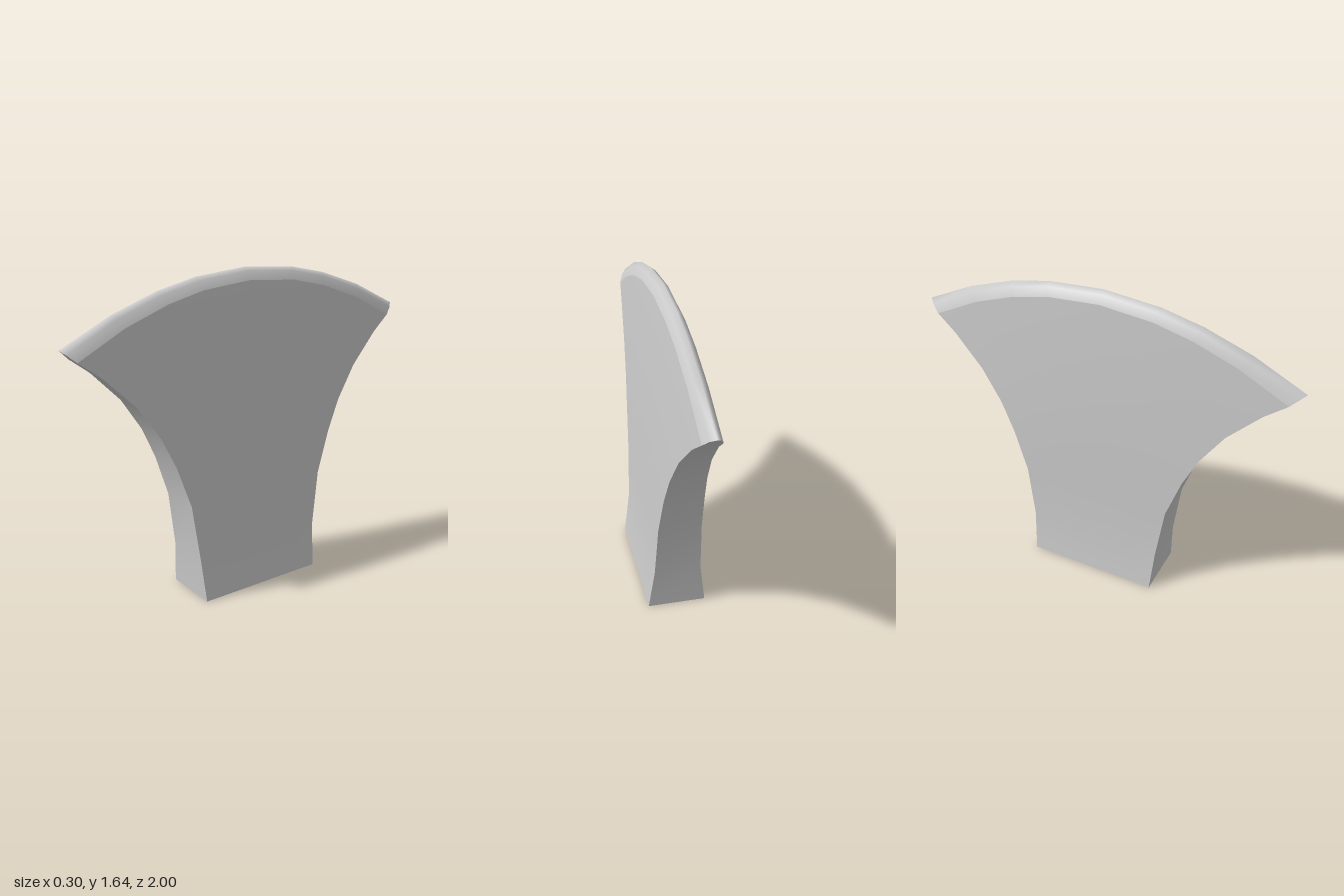
import * as THREE from 'three';

// Cross-section rows: half depth z, edge height y, half thickness x, rise of the row at its middle
const ROWS = [
  [0.35, 0, 0.15, 0],
  [0.365, 0.23, 0.12, 0.01],
  [0.405, 0.52, 0.11, 0.03],
  [0.48, 0.74, 0.1, 0.07],
  [0.555, 0.9, 0.089, 0.11],
  [0.67, 1.07, 0.075, 0.16],
  [0.83, 1.23, 0.057, 0.225],
  [0.935, 1.31, 0.045, 0.275],
  [0.975, 1.347, 0.025, 0.28],
  [1, 1.365, 0, 0.28],
];
const BEVEL = 7; // row where the sharpened edge starts
const COLUMNS = [-1, -0.74, -0.5, -0.29, 0, 0.29, 0.5, 0.74, 1];

// Point on a row: u runs along z, side picks the +x or -x face
function point([z, y, x, rise], u, side) {
  return [x * side, y + rise * (1 - u * u), z * u];
}

// Smooth surface through a grid of points
function gridGeometry(grid) {
  const n = grid[0].length;
  const index = [];
  for (let i = 0; i < grid.length - 1; i++) {
    for (let j = 0; j < n - 1; j++) {
      const a = i * n + j;
      index.push(a, a + n, a + 1, a + 1, a + n, a + n + 1);
    }
  }
  const geometry = new THREE.BufferGeometry();
  geometry.setAttribute('position', new THREE.Float32BufferAttribute(grid.flat(2), 3));
  geometry.setIndex(index);
  geometry.computeVertexNormals();
  return geometry;
}

export function createModel() {
  const model = new THREE.Group();
  model.name = 'axeHead';
  const material = new THREE.MeshStandardMaterial({ color: 0xcccccc, side: THREE.DoubleSide });

  function add(name, geometry, turn = 0) {
    const mesh = new THREE.Mesh(geometry, material);
    mesh.name = name;
    mesh.rotation.y = turn;
    model.add(mesh);
  }

  // Broad cheeks and the concave narrow edges, each repeated by a half turn; the bottom stays open
  const cheek = gridGeometry(ROWS.slice(0, BEVEL + 1).map((r) => COLUMNS.map((u) => point(r, u, 1))));
  const narrowEdge = gridGeometry(ROWS.map((r) => [point(r, 1, 1), point(r, 1, -1)]));
  add('leftCheek', cheek);
  add('rightCheek', cheek, Math.PI);
  add('frontEdge', narrowEdge);
  add('backEdge', narrowEdge, Math.PI);

  // Rounded bevel running over the curved cutting edge
  const bevelRows = ROWS.slice(BEVEL);
  const over = [
    ...bevelRows.map((r) => COLUMNS.map((u) => point(r, u, 1))),
    ...bevelRows.slice(0, -1).reverse().map((r) => COLUMNS.map((u) => point(r, u, -1))),
  ];
  add('cuttingEdge', gridGeometry(over));

  return model;
}
